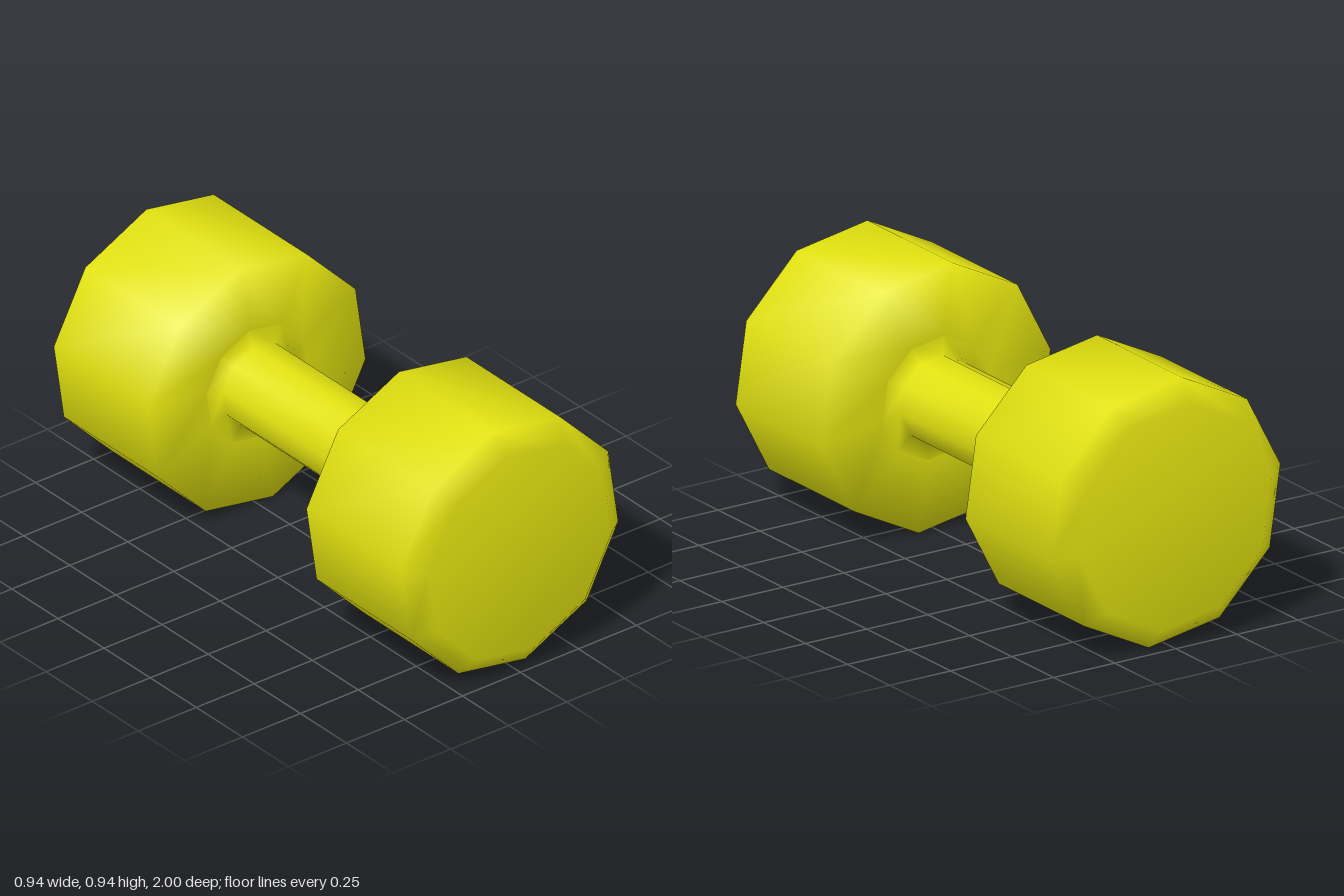
import * as THREE from 'three';
import { mergeVertices } from 'three/addons/utils/BufferGeometryUtils.js';

const SIDES = 10;
const CENTRE_Y = 0.474;
const TWIST = THREE.MathUtils.degToRad(8.45);

// Ten-sided turned solid along z, from [radius, z] pairs with z ascending
function turned(profile) {
  const points = profile.map(([r, z]) => new THREE.Vector2(r, z));
  const lathe = new THREE.LatheGeometry(points, SIDES, TWIST);
  lathe.deleteAttribute('normal');
  lathe.deleteAttribute('uv');
  const geometry = mergeVertices(lathe, 1e-4);
  geometry.rotateX(Math.PI / 2);
  geometry.computeVertexNormals();
  return geometry;
}

export function createModel() {
  const group = new THREE.Group();
  const yellow = new THREE.MeshStandardMaterial({ color: 0xe0e010 });
  yellow.name = 'yellow';

  function add(name, profile) {
    const mesh = new THREE.Mesh(turned(profile), yellow);
    mesh.name = name;
    mesh.position.y = CENTRE_Y;
    group.add(mesh);
  }

  // Weight head: open inner ring, straight wall, bevel and flat end
  const head = [[0.22, 0.43], [0.476, 0.43], [0.476, 0.94], [0.4, 1], [0, 1]];
  add('frontWeight', head);
  add('backWeight', head.map(([r, z]) => [r, -z]).reverse());

  // Grip with a small flare where it meets each head
  add('handle', [[0.22, -0.43], [0.154, -0.42], [0.154, 0.42], [0.22, 0.43]]);

  return group;
}
